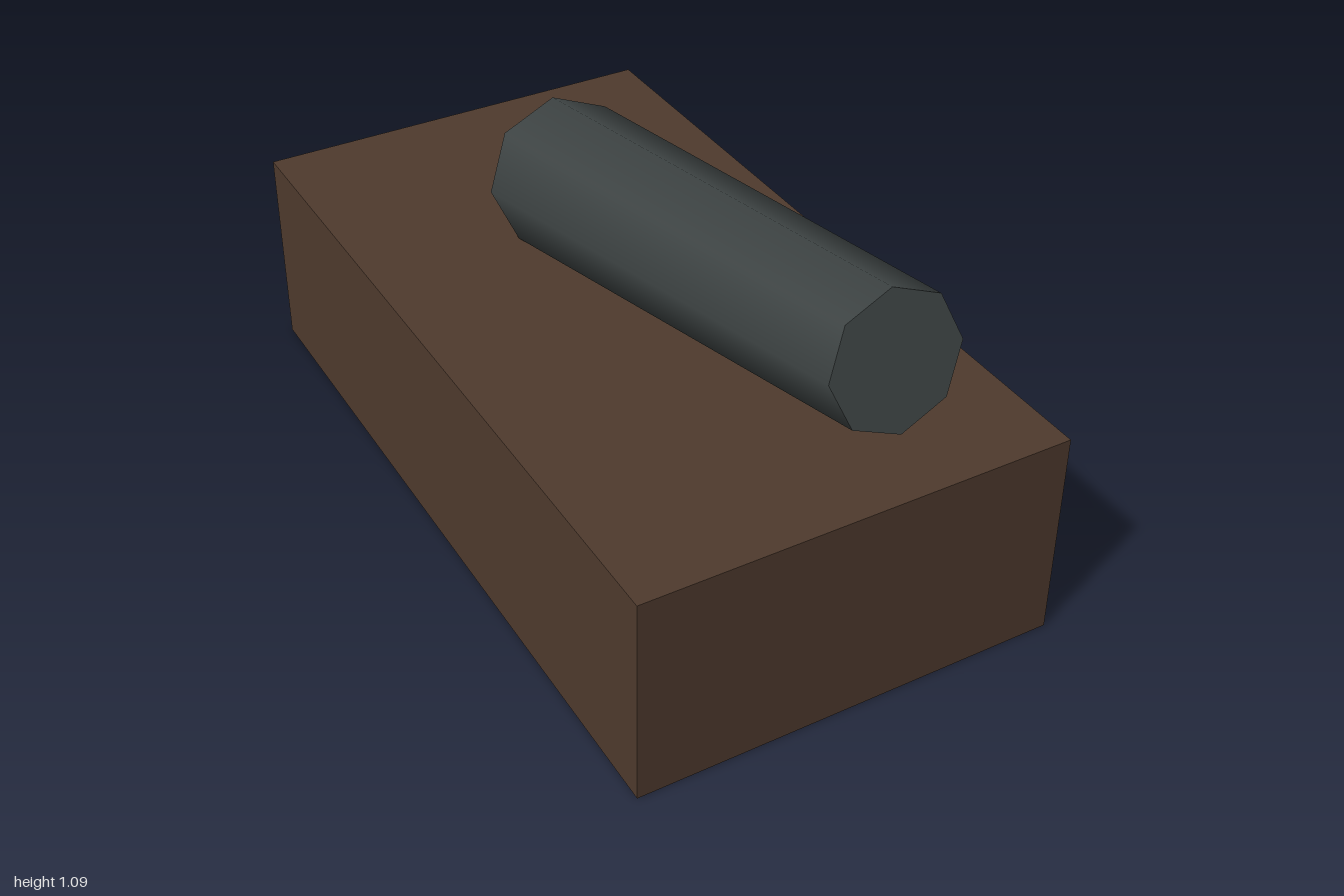
import * as THREE from 'three';

export function createModel() {
  const model = new THREE.Group();
  const brown = new THREE.MeshStandardMaterial({ color: 0x4e3a2d });
  brown.name = 'dark brown';
  const grey = new THREE.MeshStandardMaterial({ color: 0x3e4444 });
  grey.name = 'dark grey';

  // Block that carries the barrel
  const base = new THREE.Mesh(new THREE.BoxGeometry(1.04, 0.522, 1.91), brown);
  base.name = 'base';
  base.position.set(0, 0.261, -0.045);

  // Tapered eight-sided barrel, narrow end forward and raised by 12 degrees
  const barrel = new THREE.Mesh(new THREE.CylinderGeometry(0.152, 0.19, 1.39, 8), grey);
  barrel.name = 'barrel';
  barrel.rotation.x = THREE.MathUtils.degToRad(90 - 12);
  barrel.position.set(0, 0.798, 0.289);

  model.add(base, barrel);
  return model;
}
